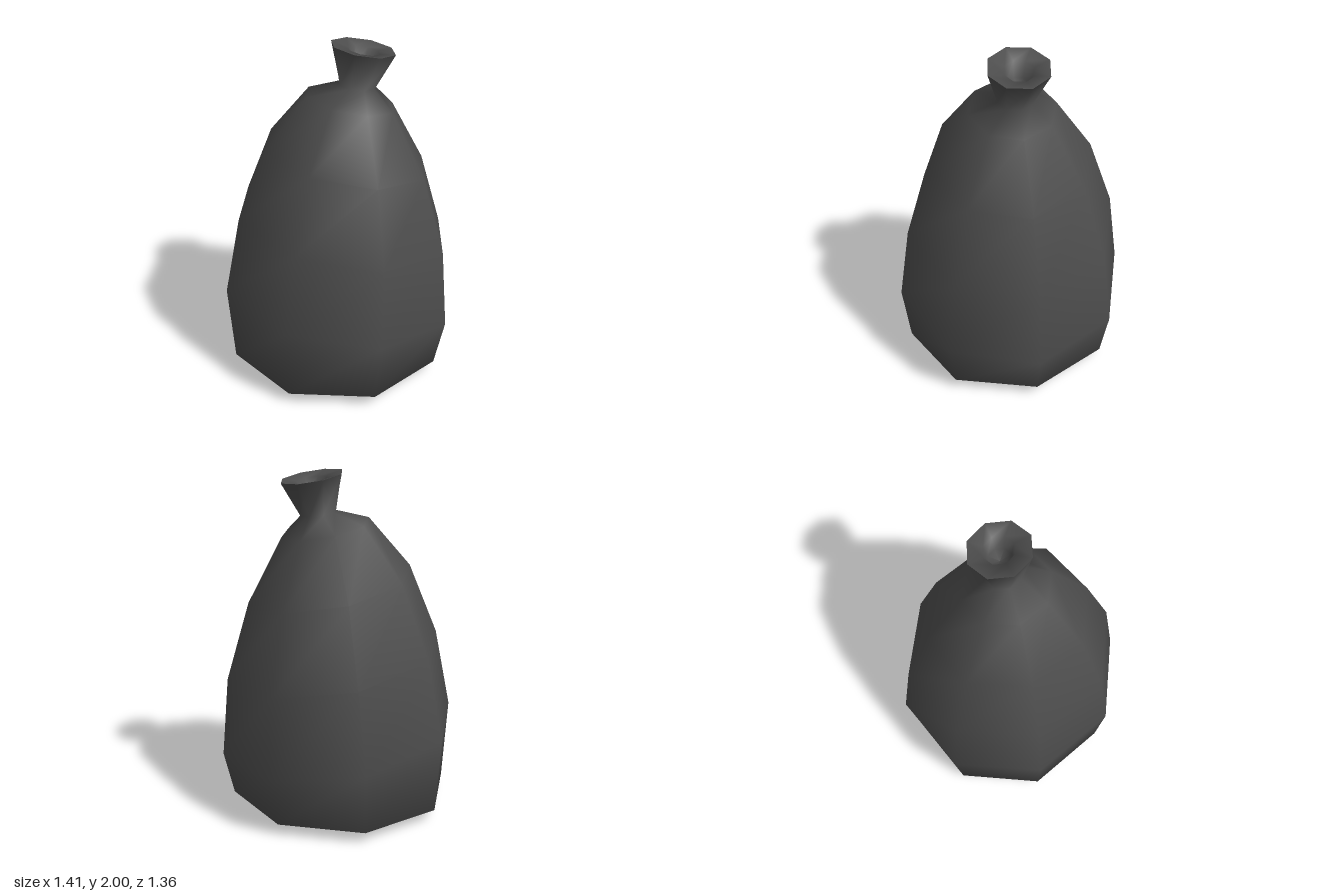
import * as THREE from 'three';

const SIDES = 8;

// Lofts tilted octagonal rings: [centreX, centreZ, radiusX, radiusZ, height, tilt, turn in degrees]
function loft(rings) {
  const pos = [], index = [];
  for (const [cx, cz, rx, rz, y, tilt, turn] of rings) {
    for (let i = 0; i < SIDES; i++) {
      const a = (i / SIDES) * Math.PI * 2 + THREE.MathUtils.degToRad(turn);
      const c = Math.cos(a), s = Math.sin(a);
      pos.push(cx + rx * c, y + tilt * (s - c), cz + rz * s);
    }
  }
  for (let r = 0; r < rings.length - 1; r++) {
    for (let i = 0; i < SIDES; i++) {
      const p = r * SIDES + i, n = r * SIDES + (i + 1) % SIDES;
      index.push(p, p + SIDES, n, n, p + SIDES, n + SIDES);
    }
  }
  const geo = new THREE.BufferGeometry();
  geo.setAttribute('position', new THREE.Float32BufferAttribute(pos, 3));
  geo.setIndex(index);
  geo.computeVertexNormals();
  return geo;
}

export function createModel() {
  const group = new THREE.Group();
  group.name = 'tiedSack';
  const fabric = new THREE.MeshStandardMaterial({ color: 0x4d4d4d });
  fabric.name = 'darkGreyFabric';

  const add = (name, rings) => {
    const mesh = new THREE.Mesh(loft(rings), fabric);
    mesh.name = name;
    group.add(mesh);
  };

  const rim = [0.108, -0.103, 0.184, 0.176, 1.969, 0.022, -6];

  // Closed underside, bulging body, pinched neck and flared collar
  add('sackBody', [
    [0.05, -0.05, 0, 0, 0, 0, 3],
    [0.05, -0.05, 0.425, 0.41, 0, 0, 3],
    [-0.01, 0.01, 0.66, 0.64, 0.07, 0, 3],
    [0, 0, 0.707, 0.683, 0.44, 0.08, 3],
    [0.023, -0.015, 0.638, 0.615, 0.91, 0.08, 3],
    [0.038, -0.025, 0.483, 0.465, 1.345, 0.065, 3],
    [0.058, -0.04, 0.258, 0.245, 1.677, 0.035, 3],
    [0.085, -0.07, 0.105, 0.1, 1.76, 0.01, 0],
    rim,
  ]);

  // Lip folding inwards to a shallow hollow
  add('sackMouth', [
    rim,
    [0.11, -0.108, 0.09, 0.086, 1.95, 0.012, -6],
    [0.105, -0.1, 0.07, 0.067, 1.86, 0.008, -6],
    [0.105, -0.1, 0, 0, 1.84, 0, -6],
  ]);

  return group;
}
